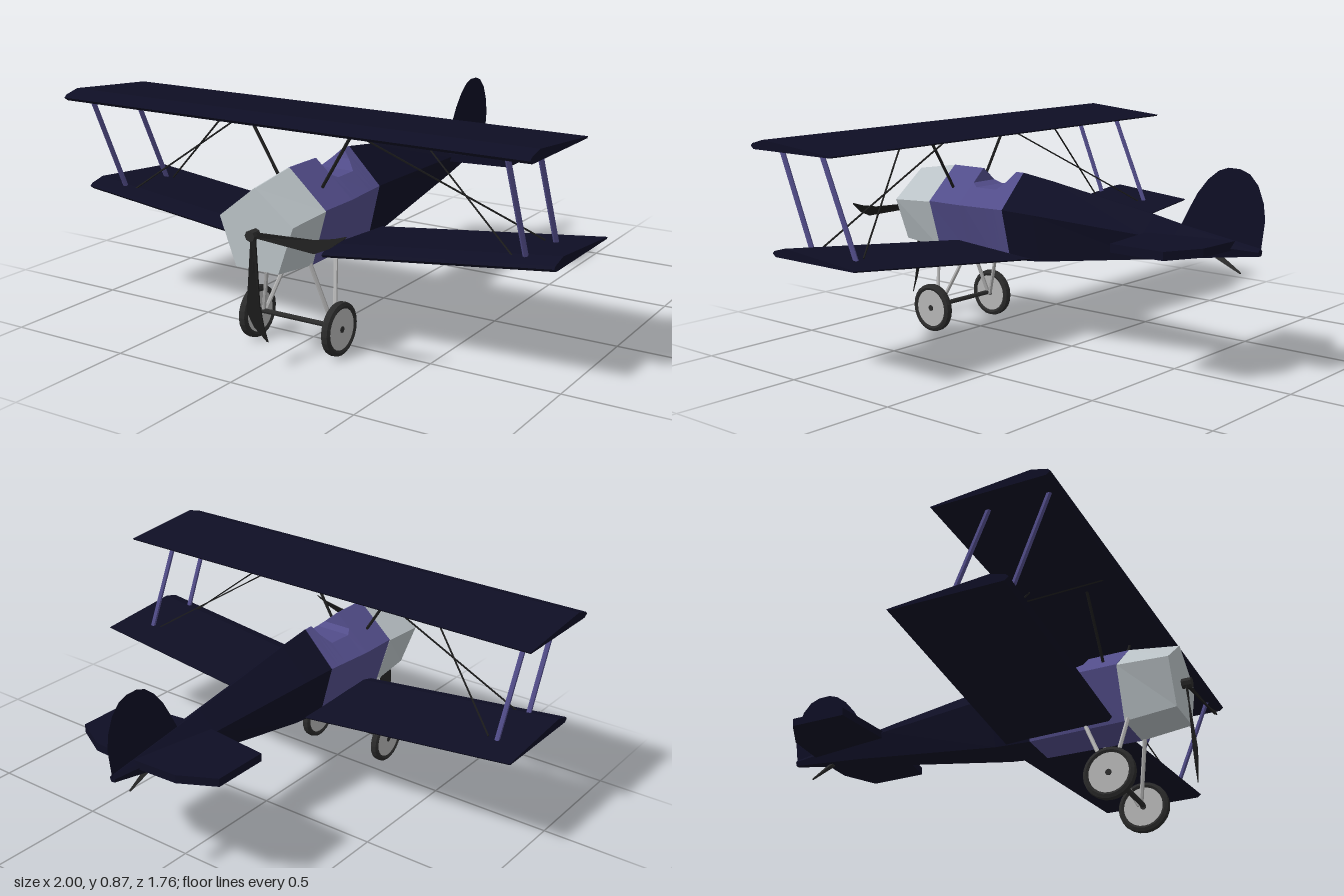
import * as THREE from 'three';

const mat = (name, color, extra = {}) =>
  Object.assign(new THREE.MeshStandardMaterial({ color, flatShading: true, ...extra }), { name });

// Skin a list of rings; each ring runs counter-clockwise seen from the end of the list.
function loft(rings) {
  const pos = [], n = rings[0].length;
  const tri = (...pts) => pts.forEach((p) => pos.push(...p));
  for (let r = 0; r < rings.length - 1; r++) {
    const a = rings[r], b = rings[r + 1];
    for (let i = 0; i < n; i++) {
      const j = (i + 1) % n;
      tri(a[i], a[j], b[j]);
      tri(a[i], b[j], b[i]);
    }
  }
  const first = rings[0], last = rings[rings.length - 1];
  for (let i = 1; i < n - 1; i++) {
    tri(first[0], first[i + 1], first[i]);
    tri(last[0], last[i], last[i + 1]);
  }
  const g = new THREE.BufferGeometry();
  g.setAttribute('position', new THREE.Float32BufferAttribute(pos, 3));
  g.computeVertexNormals();
  return g;
}

// Pentagonal body section; cut lowers the ridge to a flat for the cockpit.
function section(z, bottom, halfBottom, middle, halfMiddle, top, cut = top - 0.002) {
  const w = halfMiddle * (top - cut) / (top - middle);
  return [[-halfBottom, bottom, z], [halfBottom, bottom, z], [halfMiddle, middle, z],
    [w, cut, z], [-w, cut, z], [-halfMiddle, middle, z]];
}

export function createModel() {
  const model = new THREE.Group();
  model.name = 'biplane';
  const navy = mat('navy', 0x0e0e24, { side: THREE.DoubleSide });
  const purple = mat('purple', 0x524d8a);
  const silver = mat('silver', 0xbac2c6);
  const steel = mat('steel', 0xb4b4b4);
  const rubber = mat('rubber', 0x2b2b2b);
  const black = mat('black', 0x1c1c1c, { side: THREE.DoubleSide });

  const add = (name, geometry, material, parent = model) => {
    const m = new THREE.Mesh(geometry, material);
    m.name = name;
    parent.add(m);
    return m;
  };
  const rod = (name, a, b, radius, material, sides = 6) => {
    const p = new THREE.Vector3(...a), q = new THREE.Vector3(...b);
    const m = add(name, new THREE.CylinderGeometry(radius, radius, p.distanceTo(q), sides), material);
    m.position.copy(p).lerp(q, 0.5);
    m.quaternion.setFromUnitVectors(new THREE.Vector3(0, 1, 0), q.sub(p).normalize());
    return m;
  };

  // Fuselage
  add('cowling', loft([
    section(0.635, 0.335, 0.095, 0.54, 0.155, 0.68),
    section(0.835, 0.355, 0.09, 0.53, 0.155, 0.65),
  ]), silver);
  const mid = (z, cut) => section(z, 0.335, 0.085 + (z - 0.25) * 0.026, 0.543,
    Math.min(0.155, 0.135 + (z - 0.25) * 0.09), 0.68, cut);
  add('cockpitSection', loft([
    mid(0.25), mid(0.29), mid(0.305, 0.645), mid(0.335, 0.61), mid(0.44, 0.61),
    mid(0.469, 0.625), mid(0.47), mid(0.635),
  ]), purple);
  add('rearFuselage', loft([
    section(-0.86, 0.48, 0.008, 0.495, 0.013, 0.51),
    section(-0.52, 0.434, 0.04, 0.507, 0.063, 0.56),
    section(-0.4, 0.416, 0.048, 0.512, 0.08, 0.582),
    section(0.1, 0.345, 0.077, 0.537, 0.123, 0.66),
    section(0.25, 0.335, 0.085, 0.543, 0.135, 0.68),
  ]), navy);

  // Wings
  const aerofoil = [[0, 0.006], [0.375, 0.038], [0.435, 0.022], [0.445, 0.012], [0.43, 0], [0.005, 0]];
  const rib = (x, y, z) => aerofoil.map(([dz, dy]) => [x, y + dy, z + dz]);
  add('upperWing', loft([rib(-0.97, 0.831, 0.285), rib(0.97, 0.831, 0.285)]), navy);
  const root = [0.06, 0.343, 0.145], tip = [1, 0.45, 0.145];
  add('leftLowerWing', loft([rib(...root), rib(...tip)]), navy);
  add('rightLowerWing', loft([rib(-1, 0.45, 0.145), rib(-0.06, 0.343, 0.145)]), navy);

  // Tail
  const plane = new THREE.Shape([[0, -0.4], [-0.325, -0.44], [-0.325, -0.67], [-0.19, -0.745],
    [0, -0.755], [0.19, -0.745], [0.325, -0.67], [0.325, -0.44]]
    .map(([x, z]) => new THREE.Vector2(x, z)));
  const tailplane = new THREE.ExtrudeGeometry(plane, { depth: 0.032, bevelEnabled: false });
  tailplane.rotateX(Math.PI / 2);
  add('tailplane', tailplane, navy).position.y = 0.523;

  const finShape = new THREE.Shape([[0.86, 0.485], [0.876, 0.61], [0.868, 0.67], [0.845, 0.73],
    [0.81, 0.768], [0.77, 0.783], [0.72, 0.784], [0.68, 0.77], [0.635, 0.735], [0.59, 0.68],
    [0.555, 0.62], [0.52, 0.555], [0.52, 0.5]].map(([x, y]) => new THREE.Vector2(x, y)));
  add('fin', new THREE.ShapeGeometry(finShape).rotateY(Math.PI / 2), navy);
  add('tailSkid', loft([
    [[-0.004, 0.405, -0.78], [0.004, 0.405, -0.78], [0, 0.412, -0.78]],
    [[-0.012, 0.452, -0.68], [0.012, 0.452, -0.68], [0, 0.475, -0.68]],
  ]), rubber);

  // Struts, wires and landing gear on both sides
  for (const s of [1, -1]) {
    rod('frontWingStrut', [s * 0.87, 0.84, 0.685], [s * 0.87, 0.46, 0.525], 0.01, purple);
    rod('rearWingStrut', [s * 0.87, 0.84, 0.46], [s * 0.87, 0.45, 0.285], 0.01, purple);
    rod('cabaneStrut', [s * 0.235, 0.84, 0.56], [s * 0.085, 0.595, 0.56], 0.006, black);
    rod('bracingWire', [s * 0.27, 0.84, 0.65], [s * 0.83, 0.455, 0.29], 0.0035, black, 4);
    rod('bracingWire', [s * 0.31, 0.84, 0.36], [s * 0.83, 0.455, 0.53], 0.0035, black, 4);
    rod('frontGearLeg', [s * 0.092, 0.345, 0.648], [s * 0.155, 0.1, 0.597], 0.008, steel);
    rod('rearGearLeg', [s * 0.092, 0.345, 0.482], [s * 0.155, 0.1, 0.588], 0.008, steel);

    const wheel = new THREE.Group();
    wheel.name = 'wheel';
    wheel.position.set(s * 0.181, 0.1, 0.6);
    wheel.rotation.z = -s * Math.PI / 2;
    model.add(wheel);
    add('tyre', new THREE.LatheGeometry([[0.077, -0.013], [0.086, -0.0175], [0.098, -0.012],
      [0.1, 0], [0.098, 0.012], [0.086, 0.0175], [0.077, 0.013], [0.077, -0.013]]
      .map(([r, y]) => new THREE.Vector2(r, y)), 24), rubber, wheel);
    add('wheelDisc', new THREE.CylinderGeometry(0.079, 0.079, 0.024, 24), steel, wheel);
    add('axleCap', new THREE.CylinderGeometry(0.012, 0.012, 0.03, 10), rubber, wheel);
  }
  rod('axle', [-0.175, 0.105, 0.6], [0.175, 0.105, 0.6], 0.01, rubber, 8);

  // Propeller with two blades set a quarter turn apart
  const propeller = new THREE.Group();
  propeller.name = 'propeller';
  propeller.position.set(0, 0.487, 0.85);
  model.add(propeller);
  add('propellerHub', new THREE.CylinderGeometry(0.02, 0.02, 0.045, 8).rotateX(Math.PI / 2), rubber, propeller);
  const blade = loft([
    [[0.01, 0.01, 0.004], [0.01, 0.01, -0.002], [0.01, -0.01, -0.002], [0.01, -0.01, 0.004]],
    [[0.25, 0.022, 0.006], [0.25, 0.022, 0], [0.27, -0.016, 0.024], [0.27, -0.016, 0.03]],
    [[0.33, 0.038, 0.004], [0.33, 0.038, 0], [0.325, 0.008, 0.018], [0.325, 0.008, 0.022]],
    [[0.38, 0.054, 0.002], [0.38, 0.054, 0], [0.378, 0.048, 0.002], [0.378, 0.048, 0.004]],
  ]);
  for (const turn of [0, -Math.PI / 2]) add('propellerBlade', blade, black, propeller).rotation.z = turn;

  return model;
}
